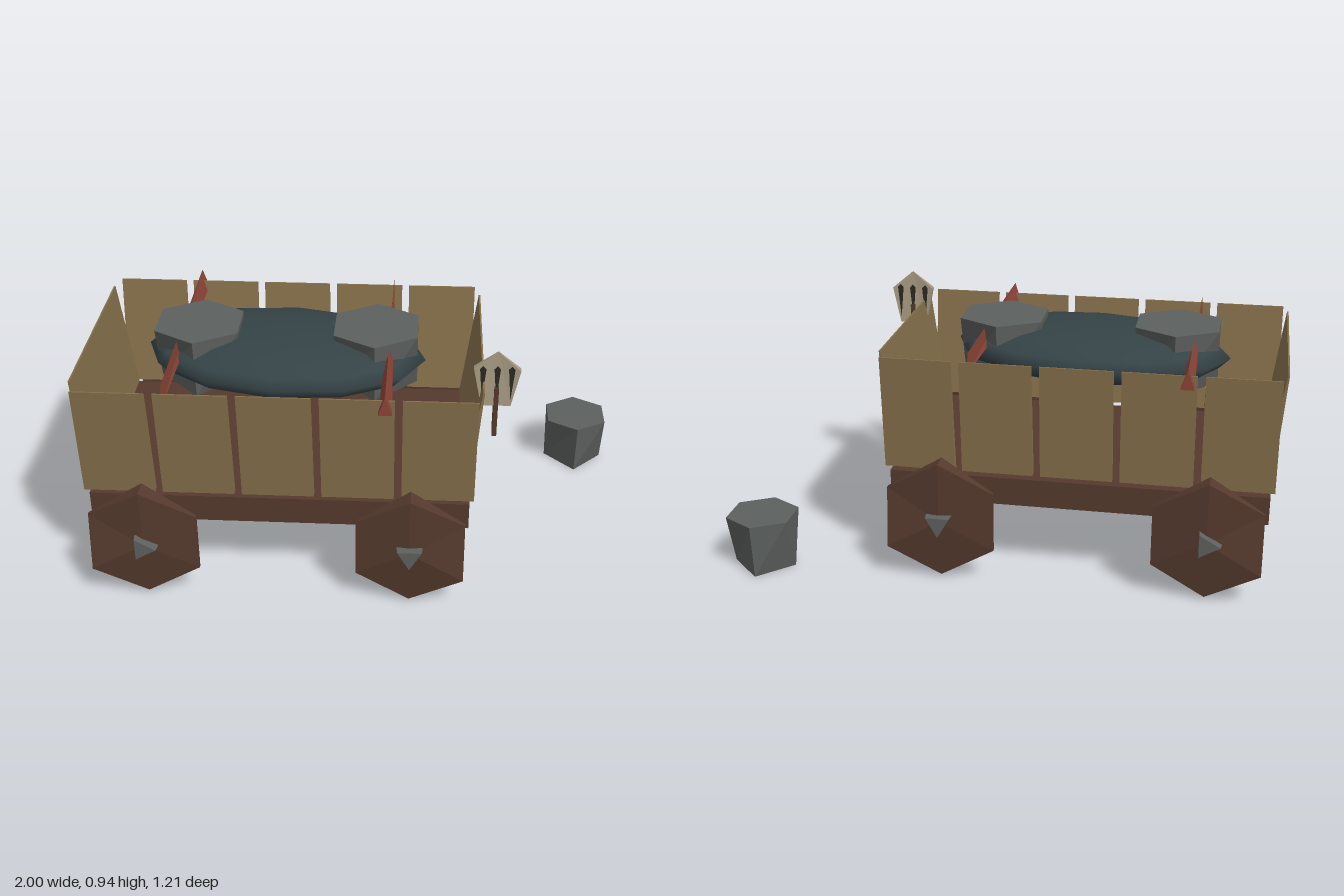
import * as THREE from 'three';

const mat = (name, color, flatShading = true) => {
  const m = new THREE.MeshStandardMaterial({ color, flatShading });
  m.name = name;
  return m;
};

export function createModel() {
  const root = new THREE.Group();
  root.name = 'wagon';
  const plankWood = mat('plank wood', 0x86704c);
  const darkWood = mat('dark wood', 0x553a2d);
  const grey = mat('grey metal', 0x5c605e);
  const slate = mat('slate cloth', 0x354346, false);
  const red = mat('red wood', 0x8c4437);
  const bone = mat('pale blade', 0xa89b82);
  const slot = mat('dark slot', 0x2b2a24);

  const cart = new THREE.Group();
  cart.name = 'cart';
  cart.position.set(-0.275, 0, 0.04);
  root.add(cart);

  const add = (parent, name, geo, material, x = 0, y = 0, z = 0) => {
    const mesh = new THREE.Mesh(geo, material);
    mesh.name = name;
    mesh.position.set(x, y, z);
    parent.add(mesh);
    return mesh;
  };

  // Moves every vertex of a geometry by a rule
  const reshape = (geo, rule) => {
    const g = geo.toNonIndexed();
    const p = g.attributes.position;
    const v = new THREE.Vector3();
    for (let i = 0; i < p.count; i++) {
      v.fromBufferAttribute(p, i);
      rule(v);
      p.setXYZ(i, v.x, v.y, v.z);
    }
    g.computeVertexNormals();
    return g;
  };

  // Bed of the cart
  add(cart, 'bed', new THREE.BoxGeometry(1.38, 0.105, 0.81), darkWood, 0, 0.317, 0);

  // Boards lean outwards and thin out towards the top
  const board = (width, bottom, thick, top) =>
    reshape(new THREE.BoxGeometry(width, 0.43, 1), v => {
      const outer = v.z > 0;
      v.z = v.y > 0 ? top - (outer ? 0 : 0.006) : bottom + (outer ? thick : 0);
    });
  const plank = board(0.26, 0.386, 0.028, 0.449);
  const endBoard = board(0.756, 0.66, 0.03, 0.725);
  for (const side of [0, Math.PI]) {
    for (let i = -2; i <= 2; i++) {
      const m = add(cart, 'sidePlank', plank, plankWood, i * 0.2875, 0.605, 0);
      m.rotation.y = side;
    }
    add(cart, 'endBoard', endBoard, plankWood, 0, 0.605, 0).rotation.y = side + Math.PI / 2;
  }

  // Rough six-sided wheel: thick in the middle and at two corners, sharp elsewhere
  const wheelGeometry = () => {
    const pts = [];
    const half = [0.006, 0.035, 0.006, 0.006, 0.006, 0.035]; // at 30, 90, 150 ... degrees
    const at = (i, s) => {
      const a = Math.PI / 6 + (i % 6) * Math.PI / 3;
      return [0.225 * Math.cos(a), 0.225 * Math.sin(a), s * half[i % 6]];
    };
    for (let i = 0; i < 6; i++) {
      const [a, b, c, d] = [at(i, 1), at(i + 1, 1), at(i, -1), at(i + 1, -1)];
      pts.push([0, 0, 0.035], a, b, [0, 0, -0.035], d, c, a, c, d, a, d, b);
    }
    const g = new THREE.BufferGeometry();
    g.setAttribute('position', new THREE.Float32BufferAttribute(pts.flat(), 3));
    g.computeVertexNormals();
    return g;
  };
  const wheel = wheelGeometry();
  const hub = new THREE.CylinderGeometry(0.05, 0.066, 0.122, 3).rotateX(Math.PI / 2);
  for (const sx of [-1, 1]) {
    for (const sz of [-1, 1]) {
      const w = new THREE.Group();
      w.name = 'wheel';
      w.position.set(sx * 0.48, 0.235, sz * 0.5);
      cart.add(w);
      // A half turn about y puts the thick corners on the outer end
      add(w, 'wheelDisc', wheel, darkWood).rotation.y = sx < 0 ? Math.PI : 0;
      const h = add(w, 'hub', hub, grey);
      h.rotation.y = sz < 0 ? Math.PI : 0;
      h.rotation.z = sx < 0 ? Math.PI / 2 : 0;
    }
  }

  // Padded load
  const load = add(cart, 'load', new THREE.SphereGeometry(1, 12, 8), slate, 0, 0.755, -0.002);
  load.scale.set(0.52, 0.1, 0.305);
  load.rotation.y = -0.08;

  // Bucket: six-sided top closing to a four-cornered base
  const bucketGeometry = (radius, height) =>
    reshape(new THREE.CylinderGeometry(radius, radius, height, 6), v => {
      if (v.y < 0 && Math.abs(v.x) > radius * 0.3) {
        v.x = Math.sign(v.x) * radius * 0.87;
        v.z = 0;
      } else if (v.y < 0) v.z *= 0.88;
    });
  const packed = bucketGeometry(0.176, 0.23);
  add(cart, 'packedBucket', packed, grey, -0.32, 0.755, -0.005);
  add(cart, 'packedBucket', packed, grey, 0.335, 0.755, -0.005);
  add(root, 'looseBucket', bucketGeometry(0.135, 0.207), grey, 0.882, 0.1035, -0.475);

  // Cross bars: triangular at one end, a thin edge at the other
  const barProfile = new THREE.Shape([
    new THREE.Vector2(-0.024, 0), new THREE.Vector2(0.024, 0), new THREE.Vector2(0, 0.073)]);
  const bar = reshape(new THREE.ExtrudeGeometry(barProfile, { depth: 0.92, bevelEnabled: false }), v => {
    if (v.z < 0.1) v.x *= 0.12;
    v.z -= 0.44;
  });
  add(cart, 'crossBar', bar, red, 0.385, 0.78, 0);
  add(cart, 'crossBar', bar, red, -0.385, 0.78, 0).rotation.y = Math.PI;

  // Small shovel hung on the end board
  const shovel = new THREE.Group();
  shovel.name = 'shovel';
  shovel.position.set(0.493, 0, 0.328);
  root.add(shovel);
  add(shovel, 'handle', new THREE.BoxGeometry(0.016, 0.195, 0.046), darkWood, 0, 0.703, 0);
  const outline = [[0, 0.935], [-0.082, 0.87], [-0.052, 0.725], [0.052, 0.725], [0.082, 0.865]];
  const blade = new THREE.Shape(outline.map(([x, y]) => new THREE.Vector2(x, y)));
  const bladeGeometry = reshape(
    new THREE.ExtrudeGeometry(blade, { depth: 0.024, bevelEnabled: false }).translate(0, 0, -0.012),
    v => { if (v.y > 0.9) v.z *= 0.15; });
  add(shovel, 'blade', bladeGeometry, bone);

  // Dark slots on both faces of the blade
  const slit = new THREE.Shape([
    new THREE.Vector2(-0.011, 0.05), new THREE.Vector2(0, -0.07),
    new THREE.Vector2(0.011, 0.05), new THREE.Vector2(0, 0.062)]);
  const slitGeometry = new THREE.ExtrudeGeometry(slit, { depth: 0.004, bevelEnabled: false });
  for (const x of [-0.05, 0, 0.05]) {
    add(shovel, 'bladeSlot', slitGeometry, slot, x, 0.82, 0.01);
    add(shovel, 'bladeSlot', slitGeometry, slot, x, 0.82, -0.014);
  }
  return root;
}
